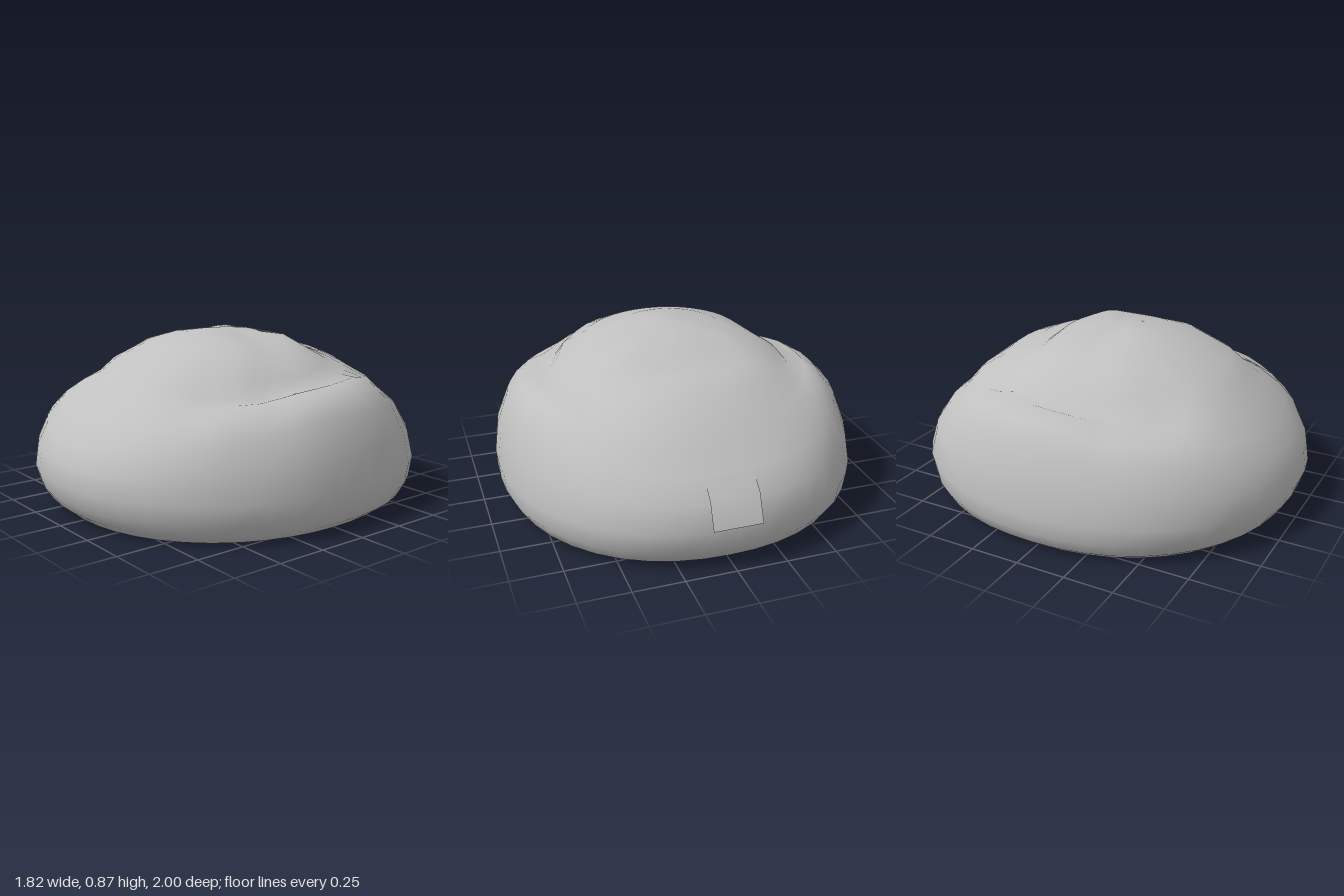
import * as THREE from 'three';

// Matching rows from base to crown: [radius, height] at the side, front and back
const ROWS = [
  [[0.76, 0], [0.81, 0], [0.76, 0]],
  [[0.82, 0], [0.87, 0], [0.82, 0]],
  [[0.87, 0.04], [0.93, 0.05], [0.91, 0.03]],
  [[0.905, 0.11], [0.97, 0.11], [0.96, 0.1]],
  [[0.91, 0.2], [1, 0.2], [0.99, 0.22]],
  [[0.89, 0.36], [0.985, 0.3], [0.945, 0.34]],
  [[0.83, 0.53], [0.94, 0.39], [0.865, 0.44]],
  [[0.76, 0.6], [0.86, 0.49], [0.78, 0.51]],
  [[0.68, 0.645], [0.74, 0.6], [0.72, 0.59]],
  [[0.61, 0.63], [0.65, 0.67], [0.56, 0.71]],
  [[0.56, 0.7], [0.57, 0.73], [0.45, 0.75]],
  [[0.44, 0.78], [0.38, 0.81], [0.36, 0.752]],
  [[0.3, 0.82], [0.22, 0.855], [0.28, 0.82]],
  [[0.15, 0.838], [0.1, 0.865], [0.14, 0.85]],
];

// Mirrored dents and bumps: x, z, x spread, z spread, height
const DENTS = [
  [0.5, 0.48, 0.12, 0.14, -0.04],
  [0.58, 0.28, 0.07, 0.12, -0.03],
  [0.5, 0.08, 0.12, 0.15, -0.025],
  [0.74, 0.32, 0.12, 0.18, -0.035],
  [0.28, -0.2, 0.1, 0.08, 0.02],
  [0.68, -0.32, 0.1, 0.16, 0.025],
];

const SEGMENTS = 44;

// Point on a row at an angle, 0 being the front
function rowPoint([side, front, back], angle) {
  const s = Math.sin(angle), c = Math.cos(angle);
  const end = c > 0 ? front : back;
  const n = c > 0 ? 2.12 : 2.22;
  const k = Math.pow(Math.abs(s) ** n + Math.abs(c) ** n, -1 / n);
  const x = s * k * side[0], z = c * k * end[0];
  let y = side[1] * s * s + end[1] * c * c;
  if (y > 0.3) {
    for (const [dx, dz, sx, sz, h] of DENTS) {
      y += h * Math.exp(-(((Math.abs(x) - dx) / sx) ** 2) - ((z - dz) / sz) ** 2);
    }
  }
  return [x, y, z];
}

// Closed body: rings of rows, an apex on top and a hub under the flat base
function domeGeometry() {
  const positions = [], index = [];
  for (const row of ROWS) {
    for (let j = 0; j < SEGMENTS; j++) {
      positions.push(...rowPoint(row, (j / SEGMENTS) * Math.PI * 2));
    }
  }
  const apex = positions.length / 3, hub = apex + 1;
  positions.push(0, 0.865, 0, 0, 0, 0);
  const last = ROWS.length - 1;
  for (let j = 0; j < SEGMENTS; j++) {
    const next = (j + 1) % SEGMENTS;
    index.push(next, j, hub);
    for (let i = 0; i < last; i++) {
      const a = i * SEGMENTS + j, b = i * SEGMENTS + next;
      index.push(a, b, b + SEGMENTS, a, b + SEGMENTS, a + SEGMENTS);
    }
    index.push(last * SEGMENTS + j, last * SEGMENTS + next, apex);
  }
  const geometry = new THREE.BufferGeometry();
  geometry.setAttribute('position', new THREE.Float32BufferAttribute(positions, 3));
  geometry.setIndex(index);
  geometry.computeVertexNormals();
  return geometry;
}

// Small bent flap lying over the back slope
function flapGeometry() {
  const geometry = new THREE.PlaneGeometry(0.24, 1, 2, 2).rotateY(Math.PI);
  const bend = [[0.48, -0.81], [0.36, -0.945], [0.23, -1]];
  const p = geometry.attributes.position;
  for (let i = 0; i < p.count; i++) {
    const [y, z] = bend[Math.floor(i / 3)];
    p.setXYZ(i, p.getX(i), y, z);
  }
  geometry.computeVertexNormals();
  return geometry;
}

export function createModel() {
  const grey = new THREE.MeshStandardMaterial({ color: 0xc0c0c0, side: THREE.DoubleSide });
  grey.name = 'plain grey';
  const group = new THREE.Group();
  group.name = 'moundedDome';
  const add = (name, geometry) => {
    const mesh = new THREE.Mesh(geometry, grey);
    mesh.name = name;
    group.add(mesh);
  };
  add('dome', domeGeometry());
  add('backFlap', flapGeometry());
  return group;
}
